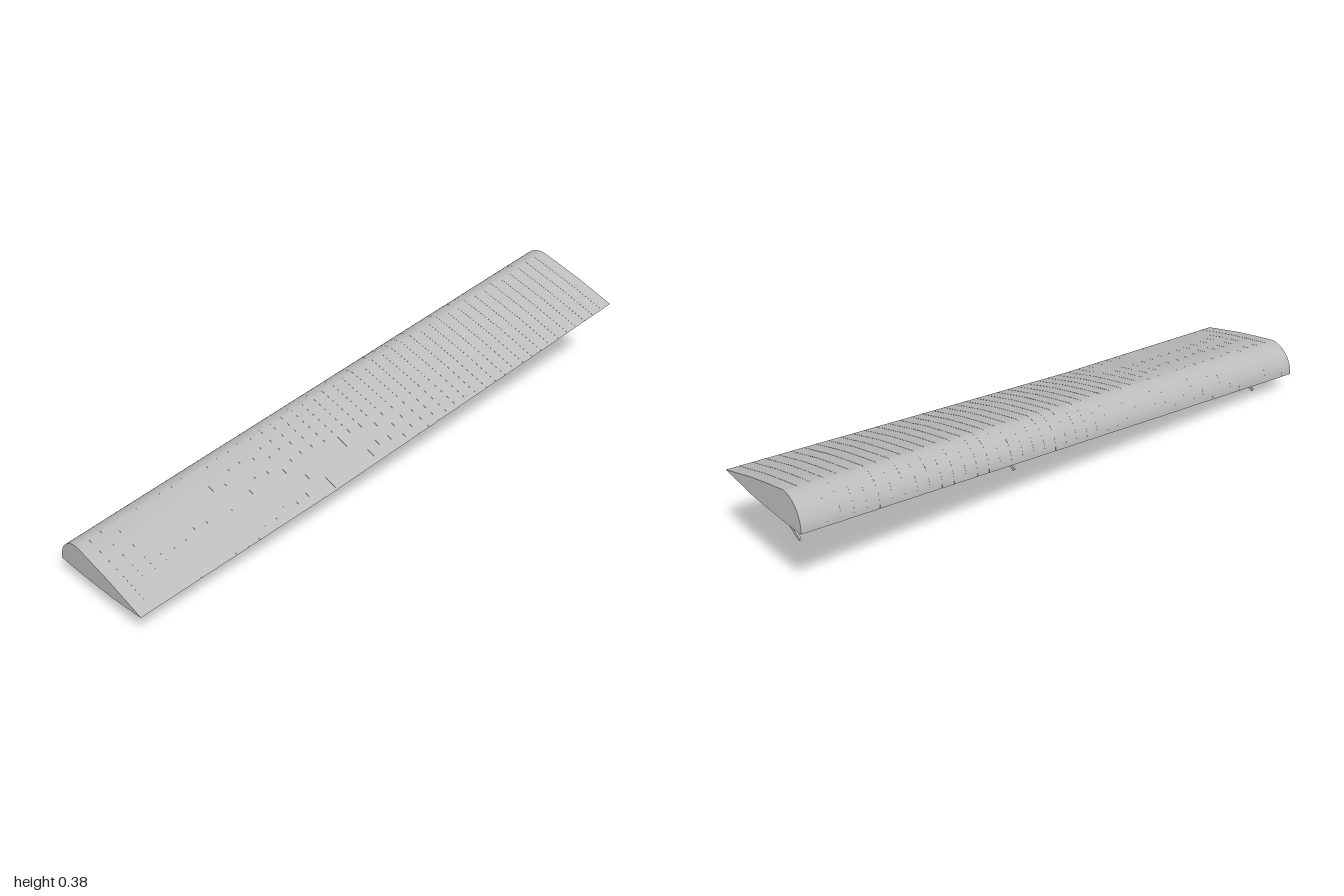
import * as THREE from 'three';
import { toCreasedNormals } from 'three/addons/utils/BufferGeometryUtils.js';

const grey = new THREE.MeshStandardMaterial({ color: 0xbdbdbd });
grey.name = 'plain grey';

// Wing profile at the high end as [z, y]: trailing edge, top, round nose, flat underside
const profile = [[0.2, 0.303], [0.06, 0.345], [-0.02, 0.3645]];
for (let i = 0; i <= 14; i++) {
  const a = (i / 14) * Math.PI / 2;
  profile.push([-0.105 - 0.094 * Math.sin(a), 0.29 + 0.094 * Math.cos(a)]);
}
profile.push([-0.105, 0.287], [0.06, 0.29]);

// Section at span position x: it drops towards the low end, with a little twist and sag
function section(x, raise = 0) {
  const t = (1 - x) / 2;
  const sag = 0.012 * (x < -0.28 ? (x + 1) / 0.72 : (1 - x) / 1.28);
  return profile.map(([z, y], i) => {
    const w = (z + 0.2) / 0.4;
    const drop = t * (0.218 - 0.015 * w) + sag * w;
    const nose = z < -0.105 ? 0.004 * t * t : 0;
    const lean = x > -1 ? 0.11 * (y - 0.288) * (x + 1) / 2 : 0;
    return [x - lean, y - drop + (i < 4 ? raise : 0), z + nose];
  });
}

// Skin over a row of sections, closed at both ends
function loft(rings) {
  const n = rings[0].length, index = [];
  for (let r = 0; r < rings.length - 1; r++) {
    for (let k = 0; k < n; k++) {
      const a = r * n + k, a2 = r * n + (k + 1) % n;
      index.push(a, a + n, a2 + n, a, a2 + n, a2);
    }
  }
  const last = (rings.length - 1) * n;
  for (let k = 1; k < n - 1; k++) {
    index.push(0, k, k + 1, last, last + k + 1, last + k);
  }
  const g = new THREE.BufferGeometry();
  g.setAttribute('position', new THREE.Float32BufferAttribute(rings.flat(2), 3));
  g.setIndex(index);
  return toCreasedNormals(g, 0.6);
}

function add(parent, name, geometry) {
  const mesh = new THREE.Mesh(geometry, grey);
  mesh.name = name;
  parent.add(mesh);
  return mesh;
}

export function createModel() {
  const model = new THREE.Group();
  model.name = 'wing';

  add(model, 'wingSkin', loft([-1, -0.28, 1].map((x) => section(x))));

  // Thin ribs lying almost flush with the upper skin
  const ribs = new THREE.Group();
  ribs.name = 'ribs';
  model.add(ribs);
  for (let i = 1; i < 46; i++) {
    const x = -1 + i * 2 / 46;
    add(ribs, 'rib', loft([section(x - 0.001, 0.0005), section(x + 0.001, 0.0005)]));
  }

  // Slanted hinge arms under the wing, with rounded tips
  const arm = new THREE.Shape();
  arm.moveTo(-0.033, 0.003);
  arm.lineTo(0.101, -0.0825);
  arm.absarc(0.105, -0.078, 0.006, -2.1, 1.0, false);
  arm.lineTo(0.003, -0.003);
  arm.lineTo(-0.006, 0.003);
  arm.closePath();
  const armGeometry = new THREE.ExtrudeGeometry(arm, { depth: 0.006, bevelEnabled: false, curveSegments: 8 });
  armGeometry.translate(0, 0, -0.003);
  armGeometry.rotateY(Math.PI / 2);
  for (const [x, y] of [[-0.907, 0.084], [0.18, 0.198], [0.953, 0.284]]) {
    add(model, 'hingeArm', armGeometry).position.set(x, y, 0);
  }
  return model;
}
